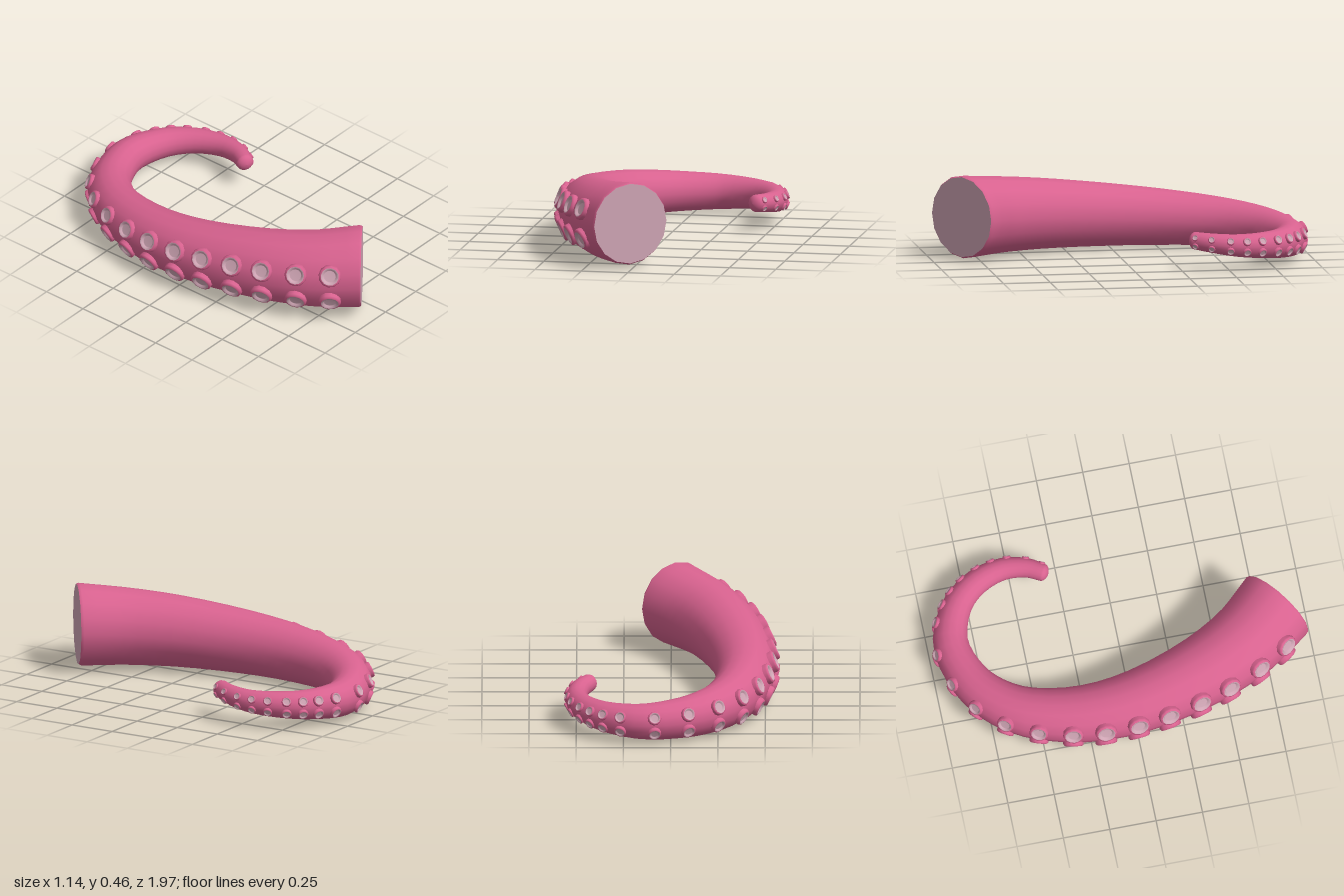
import * as THREE from 'three';

const UP = new THREE.Vector3(0, 1, 0);
const SIDES = 16;

// Centre line of the tentacle: x, y, z, radius
const SPINE = [
  [-0.015, 0.24, 0.85, 0.222], [-0.17, 0.223, 0.65, 0.207], [-0.295, 0.204, 0.38, 0.19],
  [-0.385, 0.174, 0, 0.168], [-0.385, 0.153, -0.3, 0.15], [-0.305, 0.136, -0.58, 0.131],
  [-0.18, 0.124, -0.745, 0.117], [-0.04, 0.116, -0.835, 0.106], [0.155, 0.112, -0.88, 0.094],
  [0.345, 0.117, -0.81, 0.08], [0.453, 0.125, -0.69, 0.07], [0.5, 0.134, -0.54, 0.06],
  [0.48, 0.147, -0.41, 0.052], [0.435, 0.155, -0.33, 0.047],
];
const path = new THREE.CatmullRomCurve3(SPINE.map(([x, y, z]) => new THREE.Vector3(x, y, z)));
const radii = new THREE.CatmullRomCurve3(SPINE.map((p, i) => new THREE.Vector3(i * 0.1, p[3], 0)));

// Outer-edge spots of the sucker pairs, seen from above: x, z
const SUCKERS = [
  [-0.28, 0.85], [-0.37, 0.69], [-0.45, 0.52], [-0.5, 0.35], [-0.53, 0.17], [-0.55, 0],
  [-0.545, -0.18], [-0.525, -0.35], [-0.475, -0.53], [-0.385, -0.69], [-0.26, -0.83],
  [-0.1, -0.93], [0.085, -0.98], [0.275, -0.955], [0.365, -0.9], [0.44, -0.845],
  [0.49, -0.77], [0.54, -0.68], [0.56, -0.59], [0.555, -0.5], [0.53, -0.4], [0.475, -0.325],
];

// Centre, radius, forward direction and outward direction at t
function frameAt(t) {
  const tangent = path.getTangent(t).setY(0).normalize();
  return {
    centre: path.getPoint(t), radius: radii.getPoint(t).y,
    tangent, out: new THREE.Vector3().crossVectors(UP, tangent),
  };
}

// Tapered round body with a bevelled base edge and a rounded tip
function bodyGeometry() {
  const rings = [];
  const base = frameAt(0);
  rings.push({ ...base, radius: base.radius * 0.965 });
  const steps = 40;
  for (let i = 0; i <= steps; i++) rings.push(frameAt(i === 0 ? 0.004 : i / steps));
  const tip = frameAt(1);
  for (let k = 1; k <= 5; k++) {
    const a = (k / 5) * Math.PI / 2;
    rings.push({
      ...tip, radius: tip.radius * Math.cos(a),
      centre: tip.centre.clone().addScaledVector(tip.tangent, tip.radius * 0.7 * Math.sin(a)),
    });
  }
  const positions = [], index = [];
  rings.forEach(({ centre, radius, out }, i) => {
    for (let j = 0; j < SIDES; j++) {
      const a = (j / SIDES) * Math.PI * 2;
      const p = centre.clone().addScaledVector(out, radius * Math.cos(a)).addScaledVector(UP, radius * Math.sin(a));
      positions.push(p.x, p.y, p.z);
      if (i === rings.length - 1) continue;
      const a0 = i * SIDES + j, b0 = i * SIDES + (j + 1) % SIDES;
      index.push(a0, b0, a0 + SIDES, b0, b0 + SIDES, a0 + SIDES);
    }
  });
  const geometry = new THREE.BufferGeometry();
  geometry.setAttribute('position', new THREE.Float32BufferAttribute(positions, 3));
  geometry.setIndex(index);
  geometry.computeVertexNormals();
  return geometry;
}

const lathe = (points) => new THREE.LatheGeometry(points.map(([x, y]) => new THREE.Vector2(x, y)), 12);

// Parameter of the spine point closest to a spot seen from above
function nearestT(x, z) {
  let best = 0, bestDistance = Infinity;
  for (let i = 0; i <= 600; i++) {
    const p = path.getPoint(i / 600);
    const d = Math.hypot(p.x - x, p.z - z);
    if (d < bestDistance) { bestDistance = d; best = i / 600; }
  }
  return best;
}

export function createModel() {
  const skin = new THREE.MeshStandardMaterial({ color: 0xd8628f });
  skin.name = 'pinkSkin';
  const pale = new THREE.MeshStandardMaterial({ color: 0xcfa5b4 });
  pale.name = 'palePink';

  const model = new THREE.Group();
  model.name = 'tentacle';

  const body = new THREE.Mesh(bodyGeometry(), skin);
  body.name = 'tentacleBody';
  model.add(body);

  // Flat cut end
  const base = frameAt(0);
  const cut = new THREE.Mesh(new THREE.CircleGeometry(base.radius * 0.965, SIDES), pale);
  cut.name = 'cutEnd';
  cut.position.copy(base.centre);
  cut.lookAt(base.centre.clone().sub(base.tangent));
  model.add(cut);

  // Suckers: unit radius, axis along y, surface at y = 0
  const rimGeometry = lathe([[1, -0.5], [1, 0.18], [0.93, 0.32], [0.8, 0.37]]);
  const cupGeometry = lathe([[0.8, 0.37], [0.68, 0.36], [0.56, 0.2], [0.5, 0.17], [0, 0.17]]);
  SUCKERS.forEach(([x, z], i) => {
    const { centre, radius, out } = frameAt(nearestT(x, z));
    const size = Math.min(0.06, radius * 0.37);
    const angle = THREE.MathUtils.degToRad(THREE.MathUtils.lerp(22, 28, i / (SUCKERS.length - 1)));
    for (const side of [1, -1]) {
      const normal = out.clone().multiplyScalar(Math.cos(angle)).addScaledVector(UP, side * Math.sin(angle));
      const sucker = new THREE.Group();
      sucker.name = side > 0 ? 'upperSucker' : 'lowerSucker';
      const rim = new THREE.Mesh(rimGeometry, skin);
      rim.name = 'suckerRim';
      const cup = new THREE.Mesh(cupGeometry, pale);
      cup.name = 'suckerCup';
      sucker.add(rim, cup);
      sucker.position.copy(centre).addScaledVector(normal, radius * 0.985);
      sucker.quaternion.setFromUnitVectors(UP, normal);
      sucker.scale.setScalar(size);
      model.add(sucker);
    }
  });
  return model;
}
